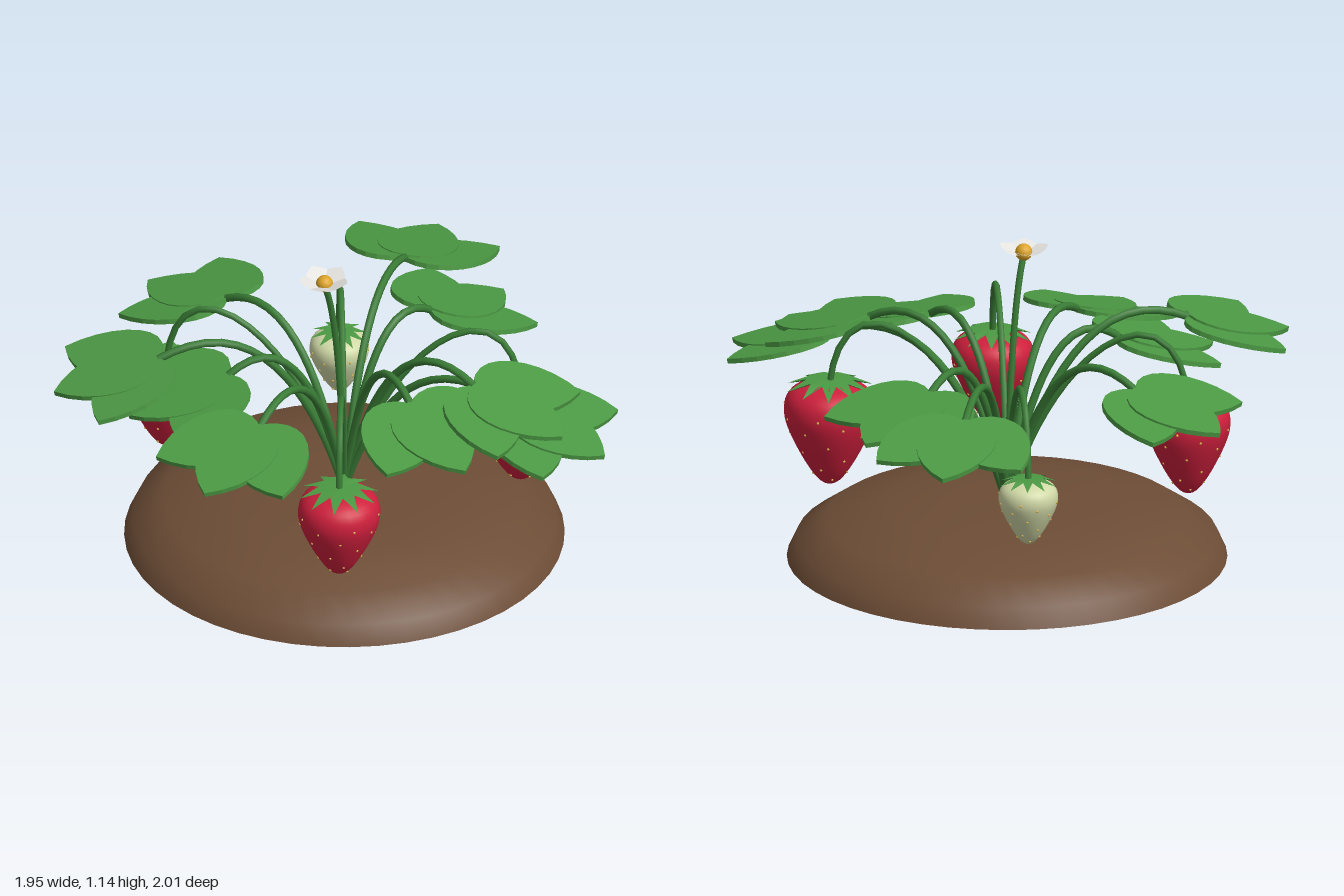
import * as THREE from 'three';

const paint = (name, color, extra = {}) => {
  const m = new THREE.MeshStandardMaterial({ color, ...extra });
  m.name = name;
  return m;
};

export function createModel() {
  const soil = paint('soil', 0x6d4d36);
  const leafGreen = paint('leafGreen', 0x4c9a44);
  const sepalGreen = paint('sepalGreen', 0x4c9a44, { side: THREE.DoubleSide });
  const stemGreen = paint('stemGreen', 0x3a7d36);
  const ripeRed = paint('ripeRed', 0xce1f3c);
  const unripe = paint('unripeCream', 0xd0d8a6);
  const seedGold = paint('seedGold', 0xe0b850);
  const petalWhite = paint('petalWhite', 0xf6f4f0, { side: THREE.DoubleSide });
  const pollen = paint('pollenYellow', 0xdda428);

  const model = new THREE.Group();
  model.name = 'strawberryPlant';
  const CX = -0.02, CZ = -0.05; // root of all stems
  const add = (parent, name, geo, mat) => {
    const mesh = new THREE.Mesh(geo, mat);
    mesh.name = name;
    parent.add(mesh);
    return mesh;
  };
  const v = (x, y, z) => new THREE.Vector3(x, y, z);
  const stem = (name, curve, radius) =>
    add(model, name, new THREE.TubeGeometry(curve, 18, radius, 7), stemGreen);

  // Soil mound with a flat underside
  const moundProfile = [[0.788, 0], [0.755, 0.072], [0.645, 0.147], [0.425, 0.2], [0.2, 0.209], [0, 0.211]]
    .map(([r, y]) => new THREE.Vector2(r, y));
  add(model, 'soilMound', new THREE.LatheGeometry(moundProfile, 48), soil).position.set(-0.013, 0, -0.055);
  add(model, 'soilUnderside', new THREE.CircleGeometry(0.788, 48).rotateX(Math.PI / 2), soil)
    .position.set(-0.013, 0, -0.055);

  // One leaflet: a pointed oval plate lying along +z
  const outline = new THREE.Shape();
  outline.moveTo(0, 0);
  outline.bezierCurveTo(0.2, 0.02, 0.18, 0.27, 0, 0.393);
  outline.bezierCurveTo(-0.18, 0.27, -0.2, 0.02, 0, 0);
  const leafletGeo = new THREE.ExtrudeGeometry(outline, { depth: 0.018, bevelEnabled: false, curveSegments: 10 })
    .rotateX(Math.PI / 2);

  // Three-part leaves on arching stems: x, y, z of the joint
  const leaves = [
    [-0.03, 0.755, -0.62], [0.61, 0.755, -0.35], [0.425, 0.745, -0.05],
    [0.075, 0.815, 0.5], [0.14, 0.75, 0.63], [-0.14, 0.79, 0.39],
    [-0.58, 0.755, 0.07], [-0.42, 0.765, -0.24], [-0.59, 0.83, -0.425],
  ];
  for (const [x, y, z] of leaves) {
    const dx = x - CX, dz = z - CZ;
    stem('leafStem', new THREE.QuadraticBezierCurve3(
      v(CX, 0.19, CZ), v(CX + dx * 0.35, y + 0.21, CZ + dz * 0.35), v(x, y - 0.005, z)), 0.0145);
    const leaf = new THREE.Group();
    leaf.name = 'leaf';
    leaf.position.set(x, y, z);
    leaf.rotation.set(0.24, Math.atan2(dx, dz), 0, 'YXZ');
    for (const side of [-1, 0, 1]) {
      const part = add(leaf, 'leaflet', leafletGeo, leafGreen);
      part.rotation.y = side * 0.74;
      part.position.y = side === 0 ? 0.006 : side * 0.002;
    }
    model.add(leaf);
  }

  // Star from a disc: alternate rim points pulled in, height set per ring
  const star = (points, inner, outer, innerY, outerY) => {
    const geo = new THREE.CircleGeometry(1, points * 2).rotateX(-Math.PI / 2);
    const p = geo.attributes.position;
    for (let i = 1; i < p.count; i++) {
      const tip = i % 2 === 1;
      const r = tip ? outer : inner;
      p.setXYZ(i, p.getX(i) * r, tip ? outerY : innerY, p.getZ(i) * r);
    }
    geo.computeVertexNormals();
    return geo;
  };

  // Berries hanging from hooked stems
  const berryCurve = new THREE.SplineCurve([[0, 0], [0.2, 0.025], [0.47, 0.17], [0.77, 0.41], [0.95, 0.6],
    [1, 0.73], [0.94, 0.85], [0.75, 0.935], [0.42, 0.985], [0, 1]].map(([r, y]) => new THREE.Vector2(r, y)));
  const berryProfile = berryCurve.getPoints(24).map(p => p.set(Math.max(p.x, 0), p.y));
  const berries = [
    // x, z, bottom, top, radius, skin
    [-0.528, 0.41, 0.26, 0.605, 0.148, ripeRed],
    [-0.335, -0.625, 0.275, 0.64, 0.152, ripeRed],
    [0.37, 0.45, 0.275, 0.66, 0.165, ripeRed],
    [0.385, -0.46, 0.25, 0.49, 0.107, unripe],
  ];
  for (const [x, z, bottom, top, R, skin] of berries) {
    const H = top - bottom, dx = x - CX, dz = z - CZ;
    stem('berryStem', new THREE.CubicBezierCurve3(
      v(CX, 0.19, CZ), v(CX + dx * 0.25, 0.83, CZ + dz * 0.25),
      v(CX + dx * 0.92, top + 0.45, CZ + dz * 0.92), v(x, top - 0.005, z)), 0.012);
    const berry = new THREE.Group();
    berry.name = skin === unripe ? 'unripeBerry' : 'ripeBerry';
    berry.position.set(x, bottom, z);
    const flesh = new THREE.LatheGeometry(berryProfile.map(p => new THREE.Vector2(p.x * R, p.y * H)), 24);
    add(berry, 'flesh', flesh, skin);
    // Sepals drape over the shoulders
    add(berry, 'calyx', star(10, R * 0.5, R * 0.97, -0.002, -0.09 * H), sepalGreen).position.y = H + 0.008;
    // Seeds spiral up the skin, half sunk
    for (let i = 0; i < 30; i++) {
      const p = berryCurve.getPoint(0.14 + 0.46 * i / 30), a = i * 2.4;
      const seed = add(berry, 'seed', new THREE.SphereGeometry(0.005, 6, 5), seedGold);
      seed.position.set(Math.sin(a) * p.x * R * 0.99, p.y * H, Math.cos(a) * p.x * R * 0.99);
    }
    model.add(berry);
  }

  // Flower on an upright stem
  stem('flowerStem', new THREE.CubicBezierCurve3(
    v(CX, 0.19, CZ), v(-0.03, 0.5, CZ), v(-0.06, 0.92, CZ + 0.01), v(-0.14, 1.095, -0.03)), 0.012);
  const flower = new THREE.Group();
  flower.name = 'flower';
  flower.position.set(-0.142, 1.1, -0.03);
  flower.rotation.z = 0.04;
  const petal = new THREE.Shape();
  petal.moveTo(0, 0);
  petal.bezierCurveTo(0.075, 0.02, 0.06, 0.07, 0, 0.097);
  petal.bezierCurveTo(-0.06, 0.07, -0.075, 0.02, 0, 0);
  const petalGeo = new THREE.ShapeGeometry(petal, 8).scale(1, 1, -1).rotateX(Math.PI / 2);
  for (let i = 0; i < 5; i++) {
    const p = add(flower, 'petal', petalGeo, petalWhite);
    p.rotation.set(-0.36, Math.PI / 2 + i * Math.PI * 0.4, 0, 'YXZ');
  }
  const heart = add(flower, 'flowerHeart', new THREE.SphereGeometry(0.031, 16, 10), pollen);
  heart.position.y = 0.01;
  model.add(flower);

  return model;
}
